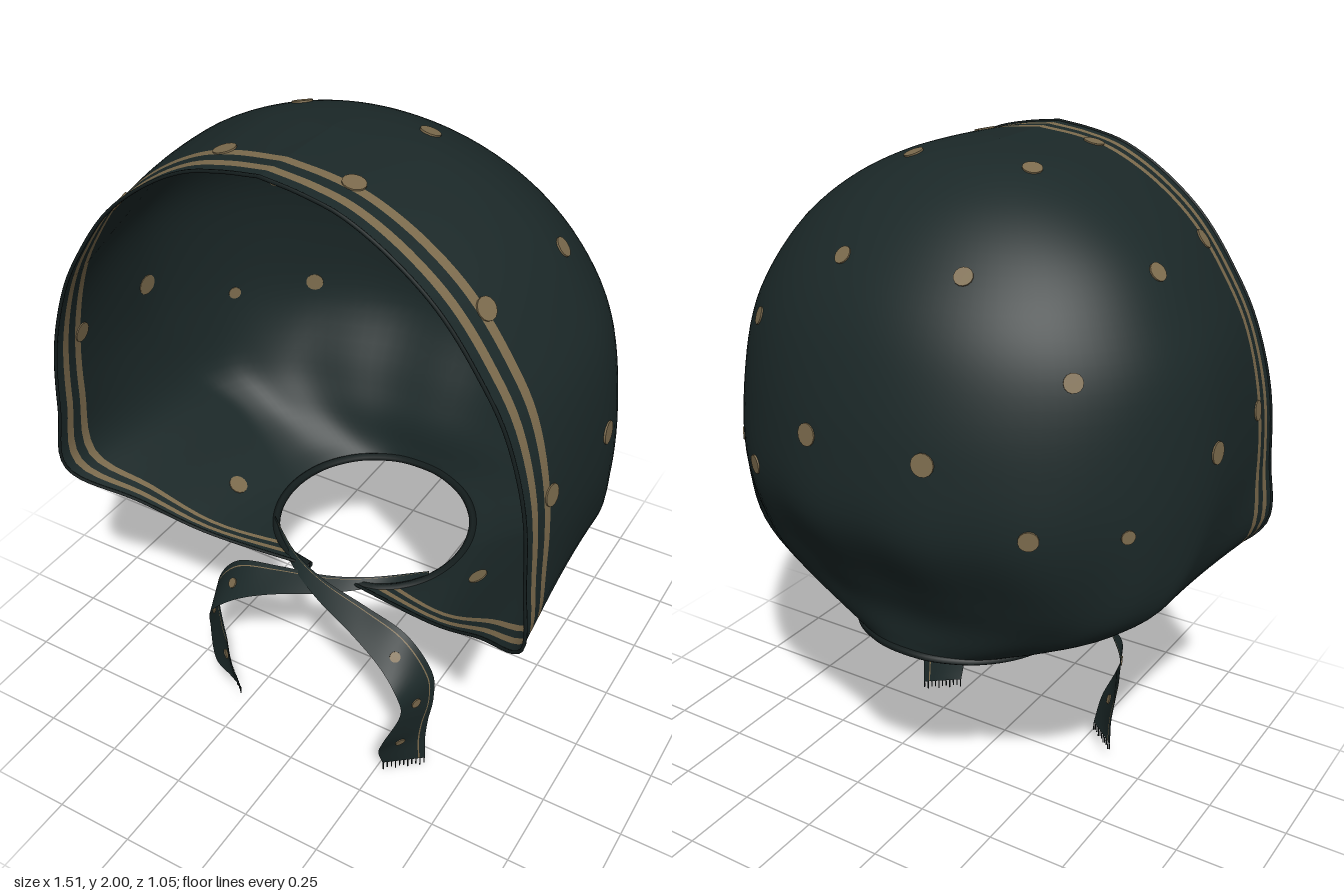
import * as THREE from 'three';

const V = (x, y, z) => new THREE.Vector3(x, y, z);
const curve = (pts) => new THREE.CatmullRomCurve3(pts, false, 'catmullrom', 0.5);
const bell = (y, mid, spread) => Math.exp(-Math.pow((y - mid) / spread, 2));

// Horizontal slices of the hood: y, front-edge x, front-edge z, half width, widest z, back z
const SLICES = [
  [0.60, 0.07, 0.25, 0.31, -0.02, -0.32],
  [0.65, 0.40, 0.33, 0.41, -0.06, -0.325],
  [0.75, 0.58, 0.42, 0.57, -0.10, -0.34],
  [0.87, 0.74, 0.52, 0.70, -0.04, -0.40],
  [1.08, 0.735, 0.52, 0.75, 0.08, -0.515],
  [1.30, 0.715, 0.515, 0.745, 0.10, -0.51],
  [1.50, 0.655, 0.51, 0.71, 0.10, -0.465],
  [1.65, 0.57, 0.51, 0.635, 0.10, -0.40],
  [1.78, 0.47, 0.51, 0.535, 0.11, -0.30],
  [1.88, 0.35, 0.51, 0.41, 0.13, -0.19],
  [1.95, 0.225, 0.51, 0.27, 0.15, -0.07],
  [1.98, 0.11, 0.51, 0.16, 0.18, 0.03],
  [1.995, 0.0, 0.51, 0.0, 0.20, 0.17],
];
const STRIPE_EDGES = [0, 0.035, 0.061, 0.093, 0.12];
const SIDE_STEPS = 8, BACK_STEPS = 28;

export function createModel() {
  const model = new THREE.Group();
  const mat = (name, color) => new THREE.MeshStandardMaterial({ name, color, side: THREE.DoubleSide });
  const fabric = mat('dark teal fabric', 0x1b2828);
  const gold = mat('dull gold print', 0x7c6b4d);
  const hem = mat('dark hem', 0x141d1d);
  const add = (name, geo, material, parent = model) => {
    const m = new THREE.Mesh(geo, material);
    m.name = name;
    parent.add(m);
    return m;
  };

  // Grid surface; columns listed in goldCols take the second material
  const gridSurface = (rows, goldCols) => {
    const cols = rows[0].length, index = [], geo = new THREE.BufferGeometry();
    for (let j = 0; j < cols - 1; j++) {
      const start = index.length;
      for (let i = 0; i < rows.length - 1; i++) {
        const a = i * cols + j, b = a + cols;
        index.push(a, a + 1, b, a + 1, b + 1, b);
      }
      geo.addGroup(start, index.length - start, goldCols.includes(j) ? 1 : 0);
    }
    geo.setFromPoints(rows.flat());
    geo.setIndex(index);
    geo.computeVertexNormals();
    return geo;
  };

  // Thin round printed dot lying in a surface, visible from both sides
  const dot = (name, pos, normal, r, parent = model) => {
    const m = add(name, new THREE.CylinderGeometry(r, r, 0.007, 14), gold, parent);
    m.position.copy(pos);
    m.quaternion.setFromUnitVectors(V(0, 1, 0), normal);
  };

  // Hood: half slice from the front edge to the back
  const front = curve(SLICES.map((s) => V(s[0], s[1], s[2])));
  const body = curve(SLICES.map((s) => V(s[3], s[4], s[5])));
  const halfSlice = (t) => {
    const { x: y, y: xf, z: zf } = front.getPoint(t);
    const { x: w, y: zc, z: zb } = body.getPoint(t);
    const len = zf - zc, pts = [];
    // the neck edge dips toward the front
    const put = (x, z) => pts.push(V(x, y - 0.06 * (z + 0.1) * bell(y, 0.6, 0.08), z));
    const rise = THREE.MathUtils.smoothstep(y, 0.6, 0.93);
    const side = (s) =>
      put(xf + (w - xf) * Math.pow(Math.max(0, 1 - s * s), 0.5 + 0.8 * rise), zc + len * s);
    // stripes draw together toward the tied corners
    const tighten = 0.4 + 0.6 * rise;
    STRIPE_EDGES.forEach((d) => side(1 - d * tighten / len));
    const s1 = 1 - STRIPE_EDGES[4] * tighten / len;
    for (let k = 1; k <= SIDE_STEPS; k++) side(s1 * (1 - k / SIDE_STEPS));
    // gathered folds above the nape
    const gather = 0.012 * bell(y, 0.9, 0.22);
    for (let k = 1; k <= BACK_STEPS; k++) {
      const a = (k / BACK_STEPS) * Math.PI / 2;
      const f = 1 + gather * Math.sin(a) * Math.cos(a * 14);
      put(w * Math.cos(a) * f, zc + (zb - zc) * Math.sin(a) * f);
    }
    return pts;
  };
  const mirrored = (pts) => pts.slice(0, -1).reverse().map((p) => V(-p.x, p.y, p.z));
  const rows = [];
  const N = (SLICES.length - 1) * 5;
  for (let i = 0; i <= N; i++) {
    const half = halfSlice(i / N);
    rows.push([...half, ...mirrored(half)]);
  }
  const last = rows[0].length - 2;
  const hoodGeo = gridSurface(rows, [1, 3, last - 1, last - 3]);
  add('hood', hoodGeo, [fabric, gold]);

  // Hems along the face opening and the neck
  const edge = rows.map((r) => r[0]);
  add('faceHem', new THREE.TubeGeometry(curve([...edge, ...mirrored(edge)]), 160, 0.005, 6), hem);
  add('neckHem', new THREE.TubeGeometry(curve(rows[0]), 100, 0.013, 6), hem);

  // Printed dots: x, y, z, radius, mirrored left and right
  const pos = hoodGeo.attributes.position, nor = hoodGeo.attributes.normal;
  const dots = [
    [0.19, 1.76, -0.31, 0.026], [0.50, 1.53, -0.29, 0.026], [0.185, 1.31, -0.49, 0.032],
    [0.44, 1.13, -0.39, 0.028], [0.63, 1.12, -0.22, 0.02], [0.56, 1.74, 0.03, 0.027],
    [0.19, 1.97, 0.03, 0.028], [0.74, 1.27, 0.07, 0.032], [0.18, 1.97, 0.388, 0.03],
    [0.525, 1.74, 0.388, 0.03], [0.73, 1.28, 0.388, 0.03], [0.42, 0.66, 0.11, 0.03],
  ];
  const p = V(), n = V();
  for (const [x, y, z, r] of dots) for (const s of [1, -1]) {
    const target = V(x * s, y, z);
    let best = 0, bestD = Infinity;
    for (let i = 0; i < pos.count; i++) {
      const d = p.fromBufferAttribute(pos, i).distanceToSquared(target);
      if (d < bestD) { bestD = d; best = i; }
    }
    p.fromBufferAttribute(pos, best);
    n.fromBufferAttribute(nor, best).normalize();
    target.addScaledVector(n, -target.clone().sub(p).dot(n));
    dot('printedDot', target, n, r);
  }

  // Ribbon ties: centre line with a half-width vector at each point
  const TIE = [
    [-0.27, 0.597, 0.13, 0, 0.014, 0], [-0.13, 0.59, 0.245, 0, 0.014, -0.012],
    [0, 0.565, 0.30, 0, 0.02, -0.022],
    [0.15, 0.535, 0.33, 0.005, 0.028, -0.035], [0.28, 0.49, 0.35, 0.02, 0.037, -0.045],
    [0.36, 0.40, 0.36, 0.025, 0.015, -0.06], [0.37, 0.31, 0.36, 0.025, 0, -0.058],
    [0.345, 0.21, 0.38, 0.037, 0, -0.072], [0.325, 0.12, 0.365, 0.048, 0, -0.06],
    [0.322, 0.03, 0.345, 0.052, 0, -0.042],
  ];
  const ACROSS = [-1, -0.5, 0, 0.4, 0.68, 0.74, 1];
  const tie = (name, s, lift, dz) => {
    const group = new THREE.Group();
    group.name = name;
    model.add(group);
    const up = (y) => y + lift * (0.6 - y) / 0.57;
    const centre = curve(TIE.map((k) => V(k[0] * s, up(k[1]), k[2] + dz)));
    const width = curve(TIE.map((k) => V(k[3] * s, k[4], k[5])));
    const ribbon = [];
    for (let i = 0; i <= 54; i++) {
      const c = centre.getPoint(i / 54), w = width.getPoint(i / 54);
      ribbon.push(ACROSS.map((a) => c.clone().addScaledVector(w, a)));
    }
    add('ribbon', gridSurface(ribbon, [4]), [fabric, gold], group);
    for (const t of [0.46, 0.64, 0.85]) {
      const w = width.getPoint(t);
      const normal = centre.getTangent(t).cross(w).normalize();
      dot('ribbonDot', centre.getPoint(t).addScaledVector(w, -0.1), normal, 0.016, group);
    }
    // frayed end
    const c = centre.getPoint(1), w = width.getPoint(1);
    for (let k = 0; k < 11; k++) {
      const h = Math.min(c.y, 0.022 + 0.008 * (k % 3 === 0));
      const thread = add('fringeThread', new THREE.BoxGeometry(0.003, h, 0.003), hem, group);
      thread.position.copy(c).addScaledVector(w, -0.96 + k * 0.192);
      thread.position.y -= h / 2;
    }
  };
  tie('leftTie', 1, 0, 0.008);
  tie('rightTie', -1, 0.03, -0.008);

  return model;
}
